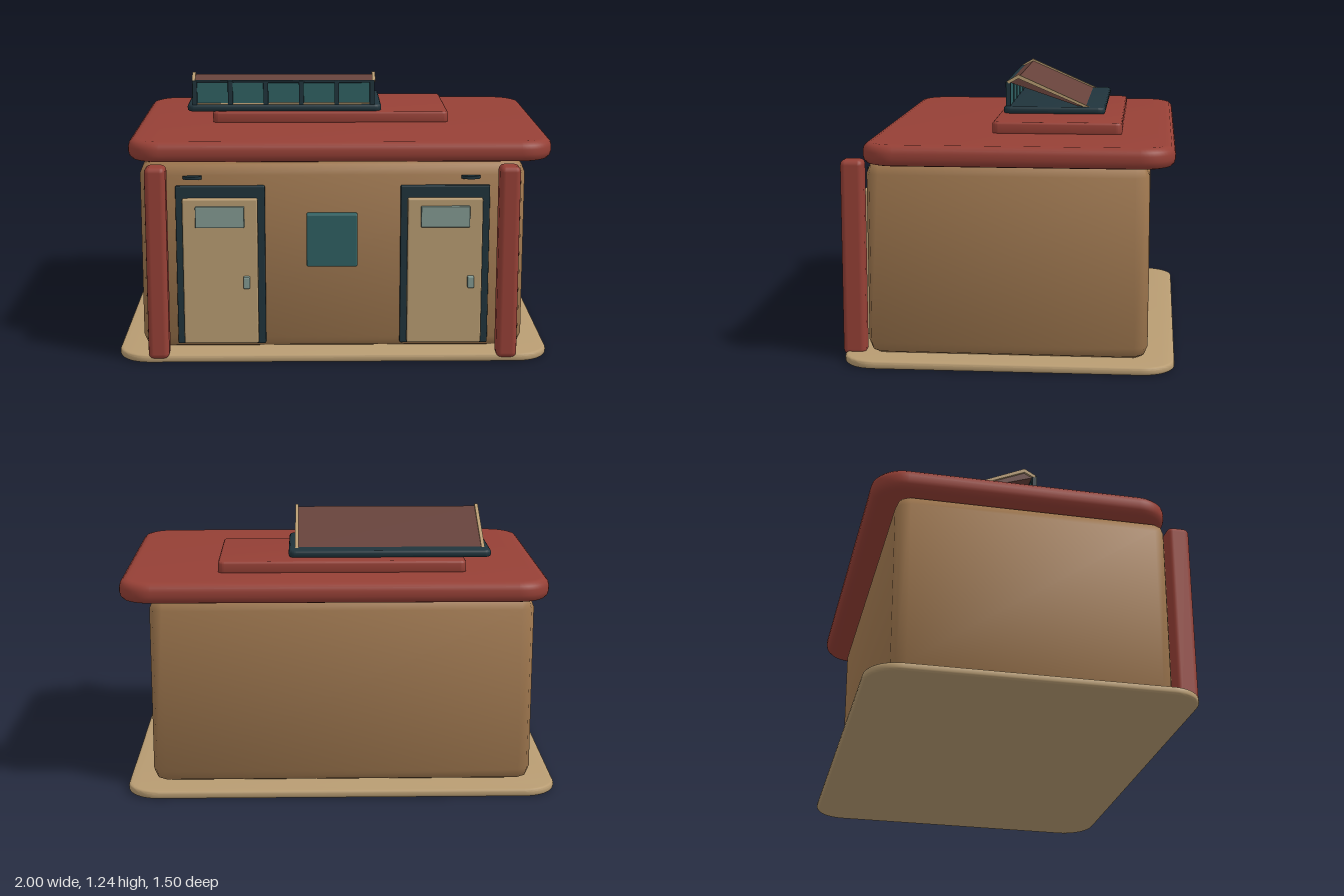
import * as THREE from 'three';
import { toCreasedNormals } from 'three/addons/utils/BufferGeometryUtils.js';
import { RoundedBoxGeometry } from 'three/addons/geometries/RoundedBoxGeometry.js';

const mat = (name, color) => {
  const m = new THREE.MeshStandardMaterial({ color });
  m.name = name;
  return m;
};

export function createModel() {
  const wall = mat('wall brown', 0xa0784f);
  const red = mat('roof red', 0x964036);
  const tan = mat('tan', 0xb89c72);
  const dark = mat('dark frame', 0x20343c);
  const teal = mat('teal glass', 0x2f6062);
  const pale = mat('pale metal', 0x839a91);
  const maroon = mat('skylight maroon', 0x66423b);

  const model = new THREE.Group();
  model.name = 'building';

  const add = (name, geometry, material, parent = model) => {
    const mesh = new THREE.Mesh(geometry, material);
    mesh.name = name;
    parent.add(mesh);
    return mesh;
  };

  // soft-edged box given by its extents
  const box = (name, material, [x0, x1], [y0, y1], [z0, z1], r = 0.006, parent = model, seg = 2) => {
    const mesh = add(name, new RoundedBoxGeometry(x1 - x0, y1 - y0, z1 - z0, seg, r), material, parent);
    mesh.position.set((x0 + x1) / 2, (y0 + y1) / 2, (z0 + z1) / 2);
    return mesh;
  };

  // horizontal slab with rounded plan corners and bevelled rims
  const slab = (name, material, [x0, x1], [y0, y1], [z0, z1], r, bevel, parent = model) => {
    const w = (x1 - x0) / 2, d = (z1 - z0) / 2;
    const s = new THREE.Shape();
    s.absarc(w - r, d - r, r, 0, Math.PI / 2);
    s.absarc(r - w, d - r, r, Math.PI / 2, Math.PI);
    s.absarc(r - w, r - d, r, Math.PI, Math.PI * 1.5);
    s.absarc(w - r, r - d, r, Math.PI * 1.5, Math.PI * 2);
    const g = new THREE.ExtrudeGeometry(s, {
      depth: y1 - y0 - 2 * bevel, bevelThickness: bevel, bevelSize: bevel,
      bevelOffset: -bevel, bevelSegments: 3, curveSegments: 6,
    });
    g.rotateX(-Math.PI / 2);
    g.translate((x0 + x1) / 2, y0 + bevel, (z0 + z1) / 2);
    return add(name, toCreasedNormals(g, 0.7), material, parent);
  };

  // side profile of [z, y] points, extruded from x0 to x1
  const profile = (name, material, points, x0, x1, parent) => {
    const s = new THREE.Shape(points.map(([z, y]) => new THREE.Vector2(-z, y)));
    const g = new THREE.ExtrudeGeometry(s, { depth: x1 - x0, bevelEnabled: false });
    g.rotateY(Math.PI / 2);
    g.translate(x0, 0, 0);
    return add(name, g, material, parent);
  };

  // base and walls; wall normals lean outward for a soft, pillowed look
  slab('floorSlab', tan, [-1, 0.985], [0, 0.036], [-0.75, 0.735], 0.15, 0.012);
  const walls = box('walls', wall, [-0.89, 0.87], [0.03, 0.918], [-0.63, 0.63], 0.06, model, 1);
  const pos = walls.geometry.attributes.position, nor = walls.geometry.attributes.normal;
  const n = new THREE.Vector3();
  for (let i = 0; i < pos.count; i++) {
    n.fromBufferAttribute(nor, i);
    n.x += 0.3 * Math.sign(pos.getX(i));
    n.y += 0.3 * Math.sign(pos.getY(i));
    n.z += 0.3 * Math.sign(pos.getZ(i));
    n.normalize();
    nor.setXYZ(i, n.x, n.y, n.z);
  }

  // roof
  slab('roof', red, [-0.95, 1], [0.912, 1.006], [-0.74, 0.635], 0.15, 0.035);
  slab('roofStep', red, [-0.585, 0.56], [1, 1.058], [-0.5, 0.095], 0.03, 0.012);

  // front pillars
  box('pillarRight', red, [-0.855, -0.76], [0.02, 0.915], [0.645, 0.75], 0.025);
  box('pillarLeft', red, [0.738, 0.832], [0.02, 0.915], [0.645, 0.75], 0.025);

  // doors with frame, window, handle and lamp
  const door = (name, x) => {
    const g = new THREE.Group();
    g.name = name;
    g.position.x = x;
    model.add(g);
    box('doorFrame', dark, [-0.203, 0.203], [0.065, 0.81], [0.61, 0.65], 0.006, g);
    box('doorPanel', tan, [-0.172, 0.17], [0.073, 0.755], [0.63, 0.675], 0.008, g);
    box('doorWindow', pale, [-0.112, 0.11], [0.625, 0.722], [0.67, 0.694], 0.004, g);
    box('doorHandle', pale, [0.103, 0.133], [0.34, 0.395], [0.67, 0.7], 0.006, g);
    const lamp = add('doorLamp', new THREE.CylinderGeometry(0.043, 0.043, 0.014, 20), dark, g);
    lamp.scale.z = 0.6;
    lamp.position.set(x < 0 ? -0.125 : 0.115, 0.848, 0.635);
  };
  door('doorRight', -0.522);
  door('doorLeft', 0.502);

  box('frontWindow', teal, [-0.13, 0.102], [0.435, 0.682], [0.61, 0.67], 0.008);

  // skylight: base, glazed front, sloping panel and its side trims
  const sky = new THREE.Group();
  sky.name = 'skylight';
  model.add(sky);
  slab('skylightBase', dark, [-0.71, 0.235], [1.056, 1.09], [-0.412, 0.075], 0.035, 0.012, sky);
  box('skylightGlass', teal, [-0.68, 0.195], [1.085, 1.205], [0.045, 0.057], 0.002, sky);
  box('skylightSill', tan, [-0.665, 0.18], [1.085, 1.097], [0.05, 0.064], 0.002, sky);
  box('skylightTopRail', dark, [-0.685, 0.2], [1.195, 1.207], [0.042, 0.065], 0.003, sky);
  for (let i = 0; i < 6; i++) {
    const x = -0.673 + i * 0.1725;
    box('mullion', dark, [x - 0.012, x + 0.012], [1.08, 1.207], [0.042, 0.066], 0.003, sky);
  }
  profile('skylightPanel', maroon,
    [[0.055, 1.203], [0.003, 1.23], [-0.318, 1.09], [-0.28, 1.092], [0.03, 1.197]], -0.675, 0.195, sky);
  for (const x of [-0.686, 0.189]) {
    profile('skylightTrim', tan,
      [[0.062, 1.208], [0.005, 1.241], [-0.335, 1.09], [-0.305, 1.09], [0.005, 1.222], [0.05, 1.198]],
      x, x + 0.016, sky);
  }

  return model;
}
